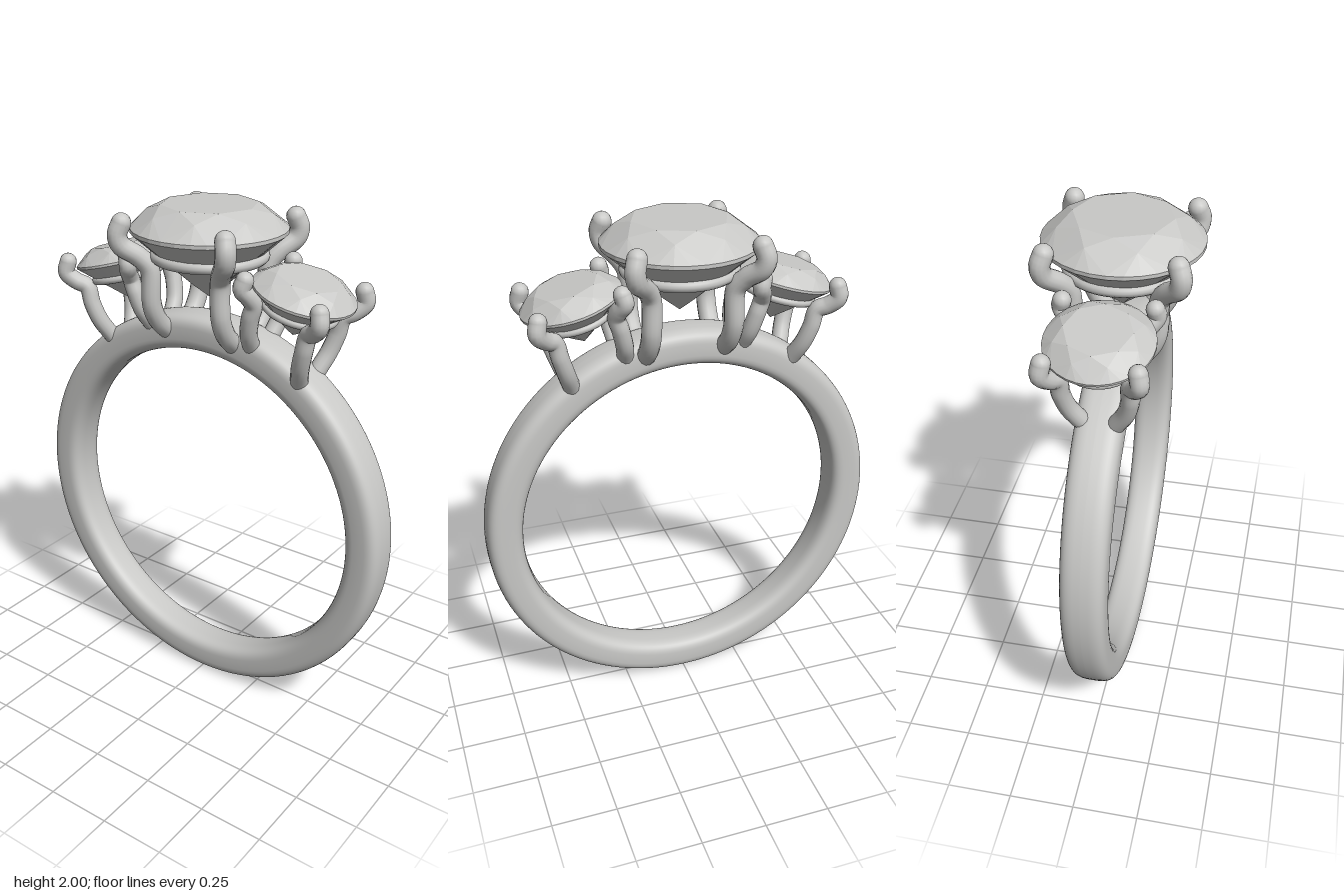
import * as THREE from 'three';

const metal = new THREE.MeshStandardMaterial({ color: 0xc8c8c6 });
metal.name = 'pale grey';

function mesh(name, geometry, parent) {
  const m = new THREE.Mesh(geometry, metal);
  m.name = name;
  parent.add(m);
  return m;
}

// Round band with a soft-cornered section, slightly wider at the top
function bandGeometry() {
  const soft = (v) => Math.sign(v) * Math.abs(v) ** 0.6;
  const profile = [];
  for (let i = 0; i <= 40; i++) {
    const a = (i / 40) * Math.PI * 2;
    profile.push(new THREE.Vector2(0.724 + 0.071 * soft(Math.cos(a)), 0.083 * soft(Math.sin(a))));
  }
  const g = new THREE.LatheGeometry(profile, 128);
  g.rotateX(Math.PI / 2);
  const p = g.attributes.position;
  for (let i = 0; i < p.count; i++) p.setZ(i, p.getZ(i) * (1 + 0.07 * p.getY(i) / 0.795));
  return g.translate(0, 0.795, 0);
}

// Round brilliant cut, girdle at y = 0
function stoneGeometry() {
  const at = (step, r, y) => {
    const a = (step / 32) * Math.PI * 2;
    return new THREE.Vector3(r * Math.sin(a), y, r * Math.cos(a));
  };
  const T = (k) => at(4 * k, 0.18, 0.09);
  const S = (k) => at(4 * k + 2, 0.235, 0.062);
  const G = (i) => at(i, 0.291, 0.007);
  const L = (i) => at(i, 0.291, -0.007);
  const P = (k) => at(4 * k + 2, 0.07, -0.204);
  const top = new THREE.Vector3(0, 0.09, 0), culet = new THREE.Vector3(0, -0.258, 0);
  const out = [];
  const tri = (a, b, c) => {
    // the stone is convex, so every facet faces away from its middle
    const n = b.clone().sub(a).cross(c.clone().sub(a));
    const mid = a.clone().add(b).add(c);
    for (const v of n.dot(mid) > 0 ? [a, b, c] : [a, c, b]) out.push(v.x, v.y, v.z);
  };
  for (let k = 0; k < 8; k++) {
    tri(top, T(k), T(k + 1));
    tri(T(k), S(k), T(k + 1));
    tri(T(k), S(k - 1), G(4 * k));
    tri(T(k), G(4 * k), S(k));
    tri(culet, P(k - 1), L(4 * k));
    tri(culet, L(4 * k), P(k));
    for (let i = 4 * k; i < 4 * k + 4; i++) {
      tri(S(k), G(i), G(i + 1));
      tri(P(k), L(i), L(i + 1));
      tri(G(i), G(i + 1), L(i));
      tri(L(i), G(i + 1), L(i + 1));
    }
  }
  const g = new THREE.BufferGeometry();
  g.setAttribute('position', new THREE.Float32BufferAttribute(out, 3));
  g.computeVertexNormals();
  return g;
}

// Bent wire with a round tip
function prong(name, points, radius, sx, sz, parent) {
  const pts = points.map(([x, y, z]) => new THREE.Vector3(x * sx, y, z * sz));
  const curve = new THREE.CatmullRomCurve3(pts, false, 'centripetal');
  const group = new THREE.Group();
  group.name = name;
  parent.add(group);
  mesh('prongWire', new THREE.TubeGeometry(curve, 40, radius, 14), group);
  for (const [part, p] of [['prongTip', pts[pts.length - 1]], ['prongFoot', pts[0]]]) {
    mesh(part, new THREE.SphereGeometry(radius, 14, 10), group).position.copy(p);
  }
}

// Stone with the wire rail that carries it
function setting(name, stone, scale, parent) {
  const group = new THREE.Group();
  group.name = name;
  mesh('stone', stone, group);
  const rail = new THREE.TorusGeometry(0.2, 0.022, 12, 64);
  rail.rotateX(Math.PI / 2);
  mesh('rail', rail, group).position.y = -0.097;
  group.scale.setScalar(scale);
  parent.add(group);
  return group;
}

export function createModel() {
  const model = new THREE.Group();
  model.name = 'threeStoneRing';
  mesh('band', bandGeometry(), model);

  const stone = stoneGeometry();
  setting('centreSetting', stone, 1, model).position.y = 1.91;
  for (const s of [-1, 1]) {
    const side = setting(s > 0 ? 'leftSetting' : 'rightSetting', stone, 0.655, model);
    side.position.set(0.408 * s, 1.738, 0);
    side.rotation.z = -s * 0.26;
  }

  const centrePath = [[0.152, 1.51, 0.06], [0.155, 1.56, 0.115], [0.156, 1.63, 0.15],
    [0.158, 1.77, 0.158], [0.185, 1.815, 0.185], [0.228, 1.86, 0.232], [0.237, 1.9, 0.24], [0.226, 1.94, 0.228]];
  const outerPath = [[0.435, 1.43, 0.06], [0.46, 1.5, 0.1], [0.482, 1.57, 0.118],
    [0.5, 1.635, 0.122], [0.535, 1.655, 0.142], [0.566, 1.69, 0.164], [0.56, 1.732, 0.158]];
  const innerPath = [[0.23, 1.52, 0.06], [0.242, 1.58, 0.1], [0.26, 1.65, 0.118],
    [0.275, 1.7, 0.122], [0.268, 1.735, 0.145], [0.254, 1.765, 0.166], [0.262, 1.795, 0.16]];
  for (const sx of [-1, 1]) {
    for (const sz of [-1, 1]) {
      prong('centreProng', centrePath, 0.037, sx, sz, model);
      prong('outerSideProng', outerPath, 0.033, sx, sz, model);
      prong('innerSideProng', innerPath, 0.033, sx, sz, model);
    }
  }
  return model;
}
